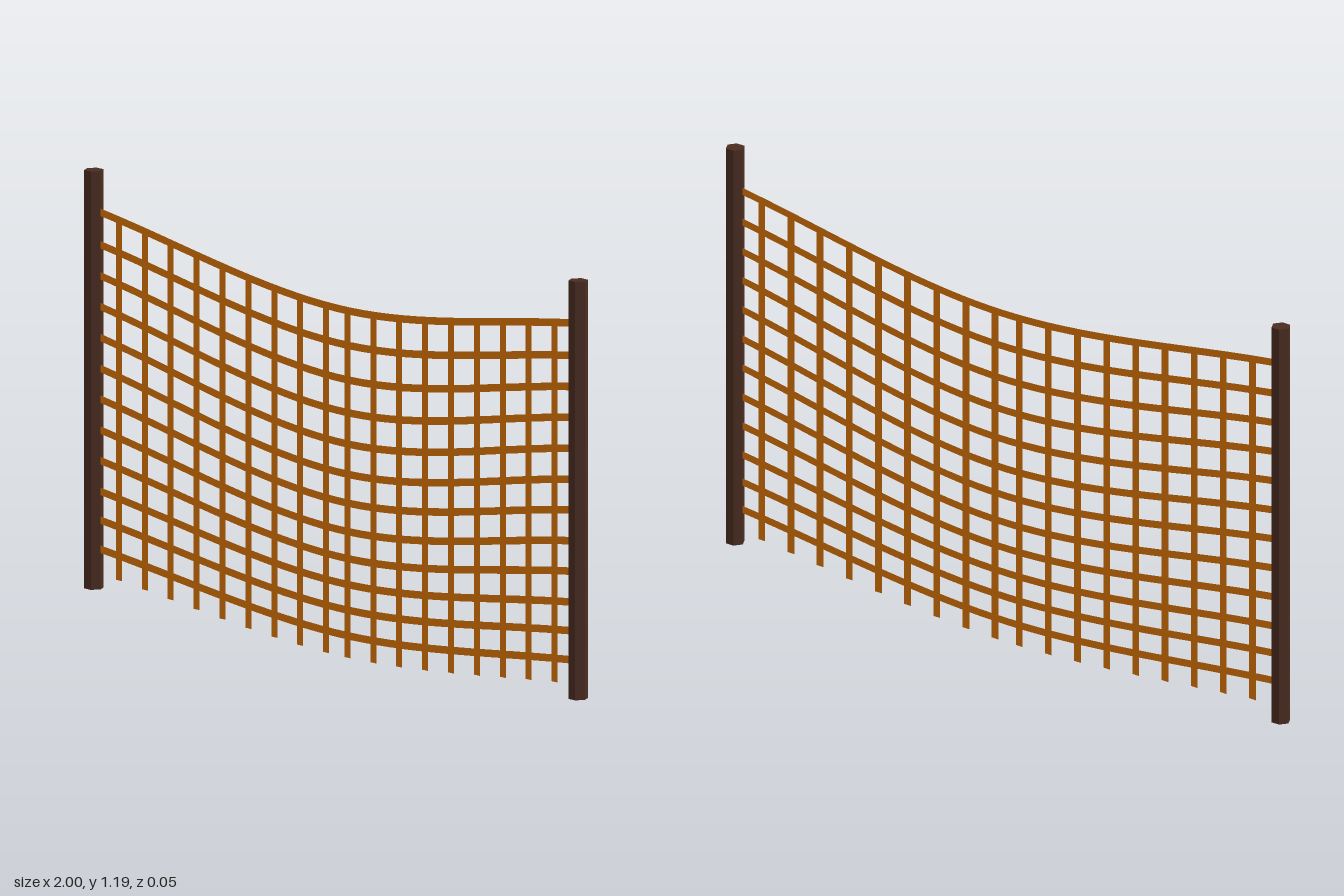
import * as THREE from 'three';

const POST_X = 0.973;
const LOW_X = 0.035; // where the net hangs lowest

// Height of a sagging cord: flat at the low point, straightening toward the posts
function sagY(x, left, low, right) {
  const end = x < LOW_X ? -POST_X : POST_X;
  const u = (x - LOW_X) / (end - LOW_X);
  return low + ((x < LOW_X ? left : right) - low) * u * u * (2 - u);
}

export function createModel() {
  const model = new THREE.Group();
  const wood = new THREE.MeshStandardMaterial({ color: 0x4a2c20, flatShading: true });
  const cord = new THREE.MeshStandardMaterial({ color: 0xe07606, side: THREE.DoubleSide });

  // Hexagonal posts with a corner pointing sideways
  const postGeometry = new THREE.CylinderGeometry(0.027, 0.027, 1.161, 6).rotateY(Math.PI / 2);
  for (const side of [-1, 1]) {
    const post = new THREE.Mesh(postGeometry, wood);
    post.name = side > 0 ? 'leftPost' : 'rightPost';
    post.position.set(side * POST_X, 0.6135, 0);
    model.add(post);
  }

  const net = new THREE.Group();
  net.name = 'net';
  model.add(net);

  // Horizontal cords: flat ribbons, each with its own height at the posts and at the low point
  const ends = [1.083, 0.993, 0.907, 0.822, 0.736, 0.65, 0.565, 0.479, 0.394, 0.308, 0.228, 0.147];
  const lows = [0.963, 0.867, 0.771, 0.68, 0.593, 0.509, 0.429, 0.35, 0.275, 0.203, 0.132, 0.061];
  ends.forEach((end, i) => {
    const geometry = new THREE.PlaneGeometry(2 * POST_X, 0.021, 36, 1);
    const p = geometry.attributes.position;
    for (let k = 0; k < p.count; k++) {
      p.setY(k, p.getY(k) + sagY(p.getX(k), end, lows[i], end - 0.009));
    }
    const mesh = new THREE.Mesh(geometry, cord);
    mesh.name = 'horizontalCord';
    net.add(mesh);
  });

  // Vertical cords: from the top cord to loose ends below the bottom one
  for (const side of [-1, 1]) {
    for (let i = 0; i < 9; i++) {
      const x = 0.003 + side * (0.043 + 0.104 * i);
      const top = sagY(x, ends[0], lows[0], ends[0] - 0.009);
      const bottom = sagY(x, 0.078, 0, 0.072);
      const mesh = new THREE.Mesh(new THREE.PlaneGeometry(0.024, top - bottom), cord);
      mesh.name = 'verticalCord';
      mesh.position.set(x, (top + bottom) / 2, 0);
      net.add(mesh);
    }
  }
  return model;
}
